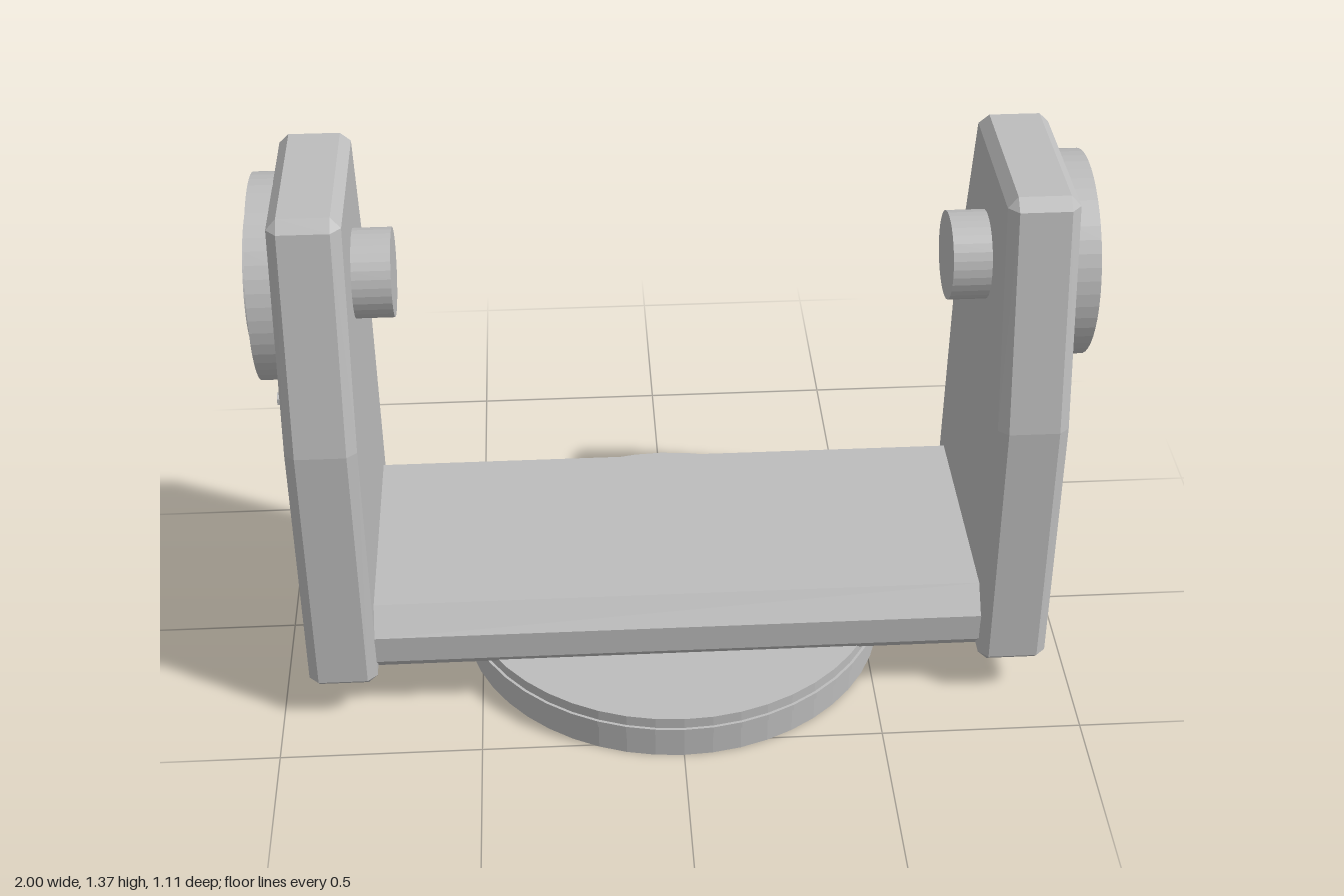
import * as THREE from 'three';
import { ConvexGeometry } from 'three/addons/geometries/ConvexGeometry.js';

const gray = new THREE.MeshStandardMaterial({ color: 0xbcbcbc });
gray.name = 'light gray metal';
gray.flatShading = true;

function add(parent, name, geometry, x = 0, y = 0, z = 0) {
  const mesh = new THREE.Mesh(geometry, gray);
  mesh.name = name;
  mesh.position.set(x, y, z);
  parent.add(mesh);
  return mesh;
}

// Disc lying along x between x0 and x1
function discX(parent, name, radius, x0, x1, y, z = 0, sides = 48) {
  const geometry = new THREE.CylinderGeometry(radius, radius, x1 - x0, sides);
  geometry.rotateZ(-Math.PI / 2);
  return add(parent, name, geometry, (x0 + x1) / 2, y, z);
}

// Convex solid from half profiles [z, y], each mirrored in z and placed at several x
function hull(layers) {
  const points = [];
  for (const [xs, profile] of layers)
    for (const x of xs)
      for (const [z, y] of profile)
        points.push(new THREE.Vector3(x, y, z), new THREE.Vector3(x, y, -z));
  return new ConvexGeometry(points);
}

function createArm() {
  const arm = new THREE.Group();

  // Tapered upright with chamfered edges
  add(arm, 'upright', hull([
    [[0.757, 0.927], [[0.203, 1.34], [0.325, 0.8], [0.348, 0.125]]],
    [[0.781, 0.903], [[0.197, 1.365], [0.228, 1.34], [0.345, 0.8], [0.37, 0.125], [0.348, 0.102]]],
  ]));

  // Pivot: stepped outer cap and inner pin
  const pivotY = 1.093;
  discX(arm, 'pivotCap', 0.248, 0.92, 0.985, pivotY);
  discX(arm, 'pivotCapCentre', 0.168, 0.98, 1.0, pivotY);
  discX(arm, 'pivotPin', 0.108, 0.664, 0.765, pivotY, 0, 32);

  // Cover plate with clipped corners and four hex bolts
  add(arm, 'coverPlate', hull([
    [[0.92, 0.937], [[0.184, 0.895], [0.192, 0.887], [0.192, 0.408], [0.184, 0.4]]],
    [[0.943], [[0.18, 0.889], [0.186, 0.883], [0.186, 0.412], [0.18, 0.406]]],
  ]));
  for (const y of [0.45, 0.845])
    for (const z of [-0.157, 0.157])
      discX(arm, 'plateBolt', 0.017, 0.938, 0.951, y, z, 6).rotation.x = Math.PI / 2;
  return arm;
}

export function createModel() {
  const model = new THREE.Group();
  model.name = 'yokeBracket';

  // Round base with a thin rim band
  add(model, 'base', new THREE.CylinderGeometry(0.548, 0.548, 0.12, 48), 0, 0.06);
  add(model, 'baseBand', new THREE.CylinderGeometry(0.555, 0.555, 0.018, 48), 0, 0.082);

  // Chamfered cross beam
  add(model, 'crossBeam', hull([
    [[-0.77, 0.77], [[0.29, 0.303], [0.345, 0.24], [0.345, 0.165], [0.29, 0.106]]],
  ]));

  // The right arm is the left arm turned half way round
  const left = createArm();
  left.name = 'leftArm';
  const right = createArm();
  right.name = 'rightArm';
  right.rotation.y = Math.PI;
  model.add(left, right);
  return model;
}
